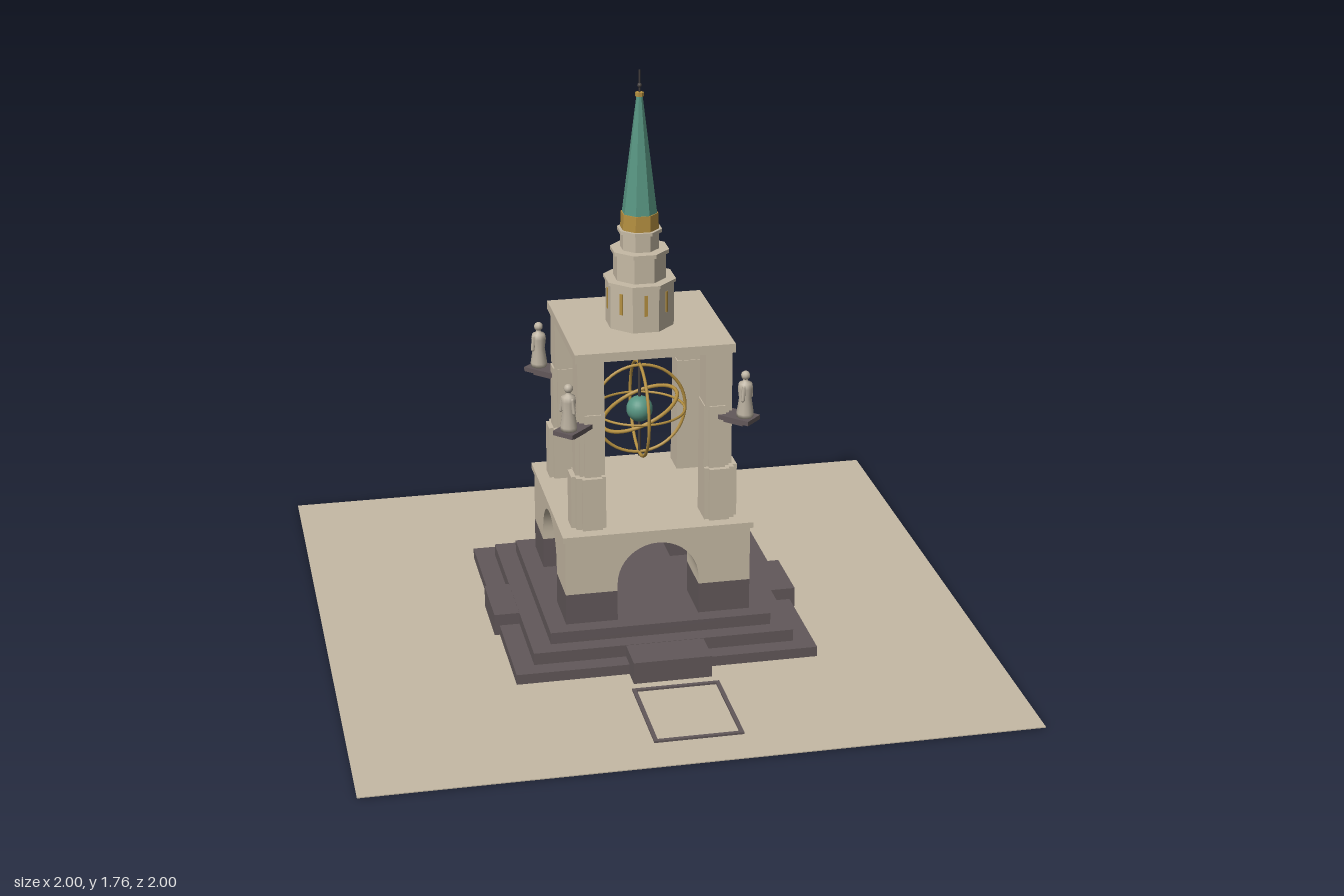
import * as THREE from 'three';

const mat = (name, color) => {
  const m = new THREE.MeshStandardMaterial({ color });
  m.name = name;
  return m;
};

export function createModel() {
  const stone = mat('pale stone', 0xc6baa5);
  const dark = mat('dark stone', 0x62585a);
  const gold = mat('gold', 0xb48f40);
  const copper = mat('green copper', 0x589582);
  const iron = mat('dark iron', 0x45403f);
  const statueStone = mat('statue stone', 0xbdb3a2);
  const water = mat('water blue', 0x3a6590);

  const model = new THREE.Group();
  const add = (parent, name, geometry, material, x = 0, y = 0, z = 0) => {
    const mesh = new THREE.Mesh(geometry, material);
    mesh.name = name;
    mesh.position.set(x, y, z);
    parent.add(mesh);
    return mesh;
  };
  // Box given by its two opposite corners
  const box = (parent, name, material, x0, x1, y0, y1, z0, z1) =>
    add(parent, name, new THREE.BoxGeometry(x1 - x0, y1 - y0, z1 - z0), material,
      (x0 + x1) / 2, (y0 + y1) / 2, (z0 + z1) / 2);
  // Octagonal drum with a flat side to the front, sized by its inner radius
  const octagon = (parent, name, material, r0, r1, y0, y1) => {
    const k = 1 / Math.cos(Math.PI / 8);
    const g = new THREE.CylinderGeometry(r1 * k, r0 * k, y1 - y0, 8).toNonIndexed();
    g.rotateY(Math.PI / 8);
    g.computeVertexNormals();
    return add(parent, name, g, material, 0, (y0 + y1) / 2, 0);
  };
  const group = (name, parent = model) => {
    const g = new THREE.Group();
    g.name = name;
    parent.add(g);
    return g;
  };

  // Plaza and sunken pool with a raised rim
  box(model, 'plaza', stone, -1, 1, 0.002, 0.005, -1, 1);
  box(model, 'poolWater', water, -0.125, 0.125, 0, 0.002, 0.55, 0.86);
  const rim = group('poolRim');
  for (const s of [-1, 1]) {
    box(rim, 'rimSide', dark, s * 0.127 - 0.006, s * 0.127 + 0.006, 0.003, 0.011, 0.543, 0.867);
    const z = 0.705 + s * 0.156;
    box(rim, 'rimEnd', dark, -0.133, 0.133, 0.003, 0.011, z - 0.006, z + 0.006);
  }

  // Stepped base with a landing on each side
  const base = group('steppedBase');
  box(base, 'lowerStep', dark, -0.464, 0.464, 0.003, 0.037, -0.466, 0.44);
  box(base, 'middleStep', dark, -0.402, 0.402, 0.037, 0.075, -0.404, 0.386);
  box(base, 'upperStep', dark, -0.342, 0.342, 0.075, 0.112, -0.342, 0.335);
  box(base, 'frontLanding', dark, -0.12, 0.12, 0, 0.074, 0.36, 0.505);
  box(base, 'backLanding', dark, -0.105, 0.105, 0, 0.074, -0.481, -0.36);
  for (const s of [-1, 1]) {
    box(base, 'sideLanding', dark, s * 0.415 - 0.065, s * 0.415 + 0.065, 0, 0.074, -0.105, 0.105);
  }

  // Arched storey: dark corner plinths, four arched faces, crossing vaults
  const arches = group('archedStorey');
  const W = 0.286, R = 0.126, Y0 = 0.21, SPRING = 0.234, TOP = 0.386;
  for (const sx of [-1, 1]) for (const sz of [-1, 1]) {
    box(arches, 'cornerPlinth', dark, sx > 0 ? R : -W, sx > 0 ? W : -R, 0.112, Y0,
      sz > 0 ? R : -W, sz > 0 ? W : -R);
  }
  const N = 20;
  const profile = [[R, Y0]];
  for (let i = 0; i <= N; i++) {
    const a = (Math.PI * i) / N;
    profile.push([R * Math.cos(a), SPRING + R * Math.sin(a)]);
  }
  profile.push([-R, Y0]);
  const outline = [[-W, Y0], [-W, TOP], [W, TOP], [W, Y0], ...profile];
  const faceGeo = new THREE.ShapeGeometry(
    new THREE.Shape(outline.map(([x, y]) => new THREE.Vector2(x, y))));
  const pos = [], idx = [];
  profile.forEach(([x, y], i) => {
    pos.push(x, y, W, x, y, Math.abs(x));
    if (i) {
      const a = 2 * i - 2;
      idx.push(a, a + 2, a + 3, a, a + 3, a + 1);
    }
  });
  const vaultGeo = new THREE.BufferGeometry();
  vaultGeo.setAttribute('position', new THREE.Float32BufferAttribute(pos, 3));
  vaultGeo.setIndex(idx);
  vaultGeo.computeVertexNormals();
  for (let i = 0; i < 4; i++) {
    const side = group('archSide', arches);
    side.rotation.y = (i * Math.PI) / 2;
    add(side, 'archFace', faceGeo, stone, 0, 0, W);
    add(side, 'archVault', vaultGeo, stone);
  }
  box(arches, 'terraceSlab', stone, -0.294, 0.294, TOP, 0.404, -0.294, 0.294);

  // Statue profile: robe, shoulders, neck and head
  const statueGeo = new THREE.LatheGeometry([
    [0, 0], [0.025, 0], [0.026, 0.012], [0.019, 0.06], [0.023, 0.092],
    [0.02, 0.108], [0.008, 0.114], [0.007, 0.12],
  ].map(([x, y]) => new THREE.Vector2(x, y)), 10);
  const headGeo = new THREE.SphereGeometry(0.014, 10, 8);

  // Corner piers, each stepping back twice, with a bracket and statue
  for (let i = 0; i < 4; i++) {
    const corner = group('cornerPier');
    corner.rotation.y = (i * Math.PI) / 2;
    box(corner, 'pierFoot', stone, 0.152, 0.243, 0.404, 0.572, 0.152, 0.243);
    box(corner, 'pierFootPilaster', stone, 0.165, 0.226, 0.404, 0.572, 0.24, 0.256);
    box(corner, 'pierFootPilaster', stone, 0.24, 0.256, 0.404, 0.572, 0.165, 0.226);
    box(corner, 'pierShaft', stone, 0.152, 0.229, 0.572, 0.772, 0.152, 0.229);
    box(corner, 'pierShaftPilaster', stone, 0.166, 0.216, 0.572, 0.772, 0.226, 0.241);
    box(corner, 'pierShaftPilaster', stone, 0.226, 0.241, 0.572, 0.772, 0.166, 0.216);
    box(corner, 'pierHead', stone, 0.155, 0.236, 0.772, 0.942, 0.155, 0.236);

    const perch = group('statuePerch', corner);
    perch.rotation.y = Math.PI / 4;
    box(perch, 'bracketPlate', dark, -0.035, 0.035, 0.731, 0.745, 0.3, 0.412);
    box(perch, 'bracketSupport', dark, -0.022, 0.022, 0.72, 0.731, 0.29, 0.385);
    add(perch, 'statueBody', statueGeo, statueStone, 0, 0.745, 0.38);
    add(perch, 'statueHead', headGeo, statueStone, 0, 0.877, 0.38);
    for (const s of [-1, 1]) {
      const arm = add(perch, 'statueArm', new THREE.CapsuleGeometry(0.006, 0.04, 3, 6),
        statueStone, s * 0.021, 0.825, 0.386);
      arm.rotation.z = s * 0.15;
    }
  }
  box(model, 'roofSlab', stone, -0.244, 0.244, 0.942, 0.97, -0.244, 0.244);

  // Hanging globe with rings
  const sphere = group('ringedGlobe');
  sphere.position.y = 0.685;
  add(sphere, 'globe', new THREE.SphereGeometry(0.041, 24, 16), copper);
  add(sphere, 'hangingRod', new THREE.CylinderGeometry(0.004, 0.004, 0.415, 8), iron, 0, 0.05, 0);
  const ring = (name, r, tube) =>
    add(sphere, name, new THREE.TorusGeometry(r, tube, 8, 48), gold);
  ring('frontRing', 0.144, 0.005);
  ring('sideRing', 0.148, 0.005).rotation.y = Math.PI / 2;
  ring('levelRing', 0.14, 0.004).rotation.x = Math.PI / 2;
  const tilted = group('tiltedRing', sphere);
  tilted.rotation.z = 0.41;
  const band = add(tilted, 'tiltedBand', new THREE.TorusGeometry(0.126, 0.006, 8, 48), gold);
  band.rotation.x = Math.PI / 2;

  // Octagonal lantern in three shrinking tiers
  const lantern = group('lantern');
  octagon(lantern, 'lowerDrum', stone, 0.098, 0.098, 0.97, 1.108);
  octagon(lantern, 'lowerCornice', stone, 0.104, 0.104, 1.108, 1.118);
  octagon(lantern, 'middleDrum', stone, 0.075, 0.075, 1.118, 1.198);
  octagon(lantern, 'middleCornice', stone, 0.084, 0.084, 1.198, 1.21);
  octagon(lantern, 'upperDrum', stone, 0.055, 0.055, 1.21, 1.262);
  octagon(lantern, 'upperCornice', stone, 0.064, 0.064, 1.262, 1.273);
  for (let i = 0; i < 8; i++) {
    const slit = group('slitWindow', lantern);
    slit.rotation.y = (i * Math.PI) / 4;
    box(slit, 'slitPane', gold, -0.005, 0.005, 1.022, 1.088, 0.096, 0.1005);
  }

  // Spire and finial
  const spire = group('spire');
  octagon(spire, 'spireCollar', gold, 0.055, 0.053, 1.273, 1.322);
  octagon(spire, 'spireRoof', copper, 0.05, 0.009, 1.322, 1.68);
  octagon(spire, 'spireCap', gold, 0.012, 0.012, 1.68, 1.692);
  add(spire, 'finialRod', new THREE.CylinderGeometry(0.0025, 0.0025, 0.07, 6), iron, 0, 1.725, 0);
  add(spire, 'finialBall', new THREE.SphereGeometry(0.007, 10, 8), iron, 0, 1.713, 0);

  return model;
}
